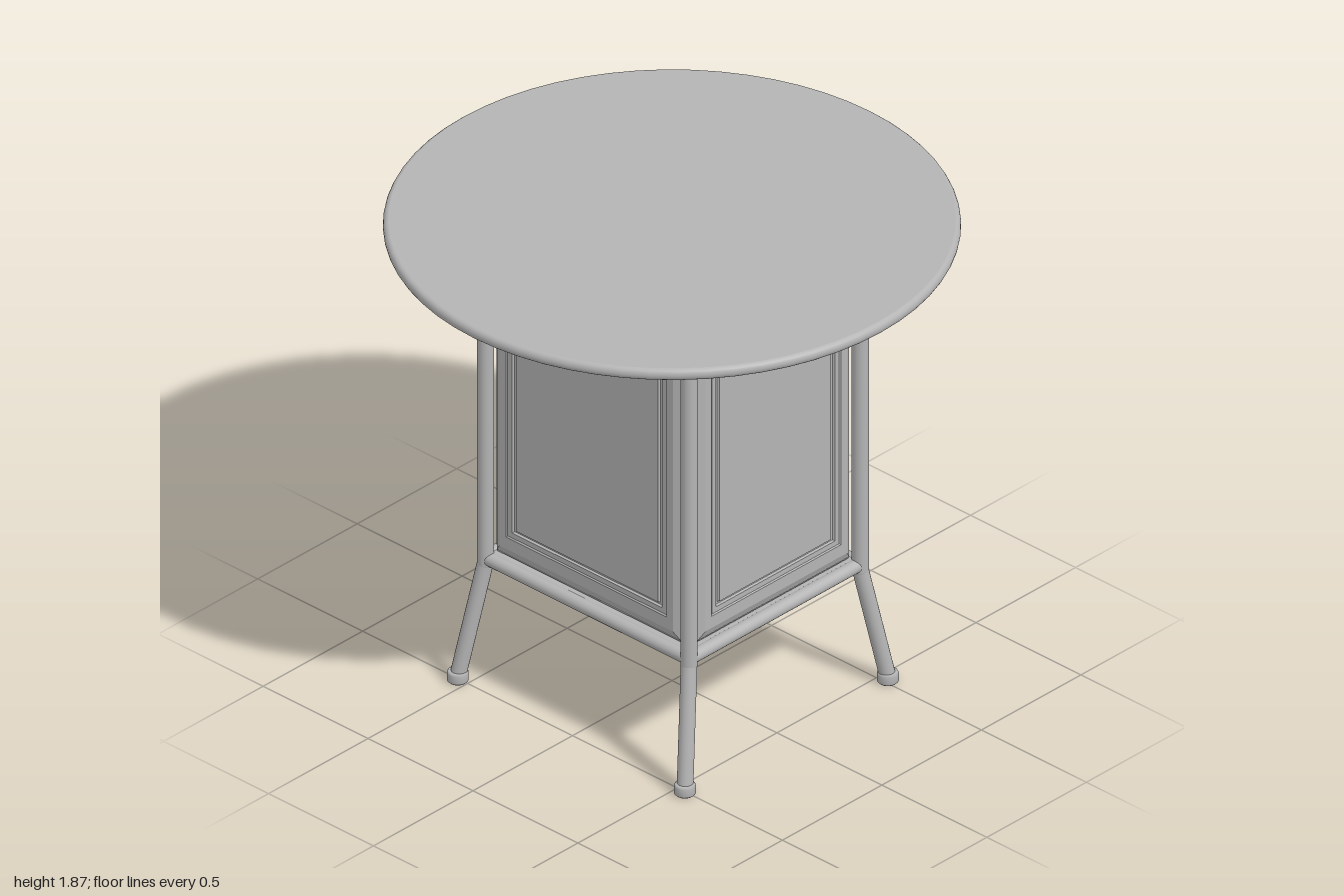
import * as THREE from 'three';

const grey = new THREE.MeshStandardMaterial({ color: 0xb4b4b4 });
grey.name = 'grey metal';

function add(parent, name, geometry) {
  const mesh = new THREE.Mesh(geometry, grey);
  mesh.name = name;
  parent.add(mesh);
  return mesh;
}

// Straight round bar between two points
function rod(a, b, radius) {
  const dir = b.clone().sub(a);
  const g = new THREE.CylinderGeometry(radius, radius, dir.length(), 20);
  g.applyQuaternion(new THREE.Quaternion().setFromUnitVectors(new THREE.Vector3(0, 1, 0), dir.normalize()));
  const mid = a.clone().add(b).multiplyScalar(0.5);
  return g.translate(mid.x, mid.y, mid.z);
}

// Rectangular panel facing +z: nested rings of [inset x, inset y, depth], closed by a flat centre
const RINGS = [
  [0, 0, 0], [0.02, 0.024, 0.022], [0.045, 0.055, 0.035], [0.075, 0.1025, 0.035],
  [0.08, 0.1075, 0.031], [0.1, 0.1275, 0.031], [0.104, 0.1305, 0.022],
  [0.116, 0.1395, 0.022], [0.12, 0.1425, 0.031],
];
function panelGeometry(halfW, halfH) {
  const pos = [];
  const corners = RINGS.map(([ix, iy, d]) => {
    const x = halfW - ix, y = halfH - iy;
    return [[-x, -y, d], [x, -y, d], [x, y, d], [-x, y, d]];
  });
  const quad = (a, b, c, d) => pos.push(...a, ...b, ...c, ...a, ...c, ...d);
  for (let r = 0; r < corners.length - 1; r++) {
    const o = corners[r], n = corners[r + 1];
    for (let i = 0; i < 4; i++) {
      const j = (i + 1) % 4;
      quad(o[i], o[j], n[j], n[i]);
    }
  }
  quad(...corners[corners.length - 1]);
  const g = new THREE.BufferGeometry();
  g.setAttribute('position', new THREE.Float32BufferAttribute(pos, 3));
  g.computeVertexNormals();
  return g;
}

// Mounting bar along z with tapered ends and chamfered lower edges
function barGeometry() {
  const ring = (hx, hz, y) => [[-hx, y, -hz], [-hx, y, hz], [hx, y, hz], [hx, y, -hz]];
  const rings = [ring(0.065, 0.568, 1.835), ring(0.065, 0.562, 1.805), ring(0.062, 0.55, 1.79), ring(0.052, 0.53, 1.78)];
  const pos = [];
  const quad = (a, b, c, d) => pos.push(...a, ...b, ...c, ...a, ...c, ...d);
  for (let r = 0; r < 3; r++) {
    for (let i = 0; i < 4; i++) {
      const j = (i + 1) % 4;
      quad(rings[r][i], rings[r + 1][i], rings[r + 1][j], rings[r][j]);
    }
  }
  const [a, b, c, d] = rings[3];
  quad(d, c, b, a);
  const g = new THREE.BufferGeometry();
  g.setAttribute('position', new THREE.Float32BufferAttribute(pos, 3));
  g.computeVertexNormals();
  return g;
}

export function createModel() {
  const model = new THREE.Group();
  model.name = 'roundTable';

  // Round top: flat faces with a softly rounded rim
  const yMid = 1.852, half = 0.0225, soft = 0.018;
  const rim = [];
  for (let i = 0; i <= 8; i++) {
    const t = -Math.PI / 2 + (Math.PI * i) / 8;
    rim.push(new THREE.Vector2(1 - soft + soft * Math.cos(t), yMid + half * Math.sin(t)));
  }
  add(model, 'tabletopRim', new THREE.LatheGeometry(rim, 64));
  for (const s of [1, -1]) {
    const disc = new THREE.CircleGeometry(1 - soft, 64).rotateX(-s * Math.PI / 2);
    add(model, s > 0 ? 'tabletopUpperFace' : 'tabletopUnderside', disc.translate(0, yMid + s * half, 0));
  }

  const base = new THREE.Group();
  base.name = 'base';
  base.position.z = 0.004;
  model.add(base);

  // Cabinet core and its floor
  const bodyX = 0.4, bodyZ = 0.458, low = 0.515, high = 1.83;
  const halfH = (high - low) / 2, midY = (high + low) / 2;
  add(base, 'cabinetCore', new THREE.BoxGeometry(bodyX * 2 - 0.01, halfH * 2, bodyZ * 2 - 0.01)).position.y = midY;
  add(base, 'cabinetFloor', new THREE.BoxGeometry(0.86, 0.03, 0.97)).position.y = 0.495;

  // Four bevelled panels with a grooved rectangle
  ['front', 'left', 'back', 'right'].forEach((side, i) => {
    const wide = i % 2 === 1;
    const panel = add(base, side + 'Panel', panelGeometry(wide ? bodyZ : bodyX, halfH));
    const out = wide ? bodyX : bodyZ;
    panel.rotation.y = (i * Math.PI) / 2;
    panel.position.set(Math.sin(panel.rotation.y) * out, midY, Math.cos(panel.rotation.y) * out);
  });

  // Corner legs: upright, then splayed out to a capped foot
  const legX = 0.43, legZ = 0.485, railY = 0.49, r = 0.03;
  for (const sx of [1, -1]) {
    for (const sz of [1, -1]) {
      const leg = new THREE.Group();
      leg.name = (sz > 0 ? 'front' : 'back') + (sx > 0 ? 'Left' : 'Right') + 'Leg';
      base.add(leg);
      const top = new THREE.Vector3(sx * legX, 1.832, sz * legZ);
      const bend = new THREE.Vector3(sx * legX, 0.47, sz * legZ);
      const foot = new THREE.Vector3(sx * 0.508, 0.03, sz * 0.54);
      add(leg, 'upright', rod(top, bend, r));
      add(leg, 'bend', new THREE.SphereGeometry(r, 20, 12)).position.copy(bend);
      add(leg, 'splayedLeg', rod(bend, foot, r - 0.001));
      const cap = [[0, 0], [0.032, 0], [0.038, 0.006], [0.038, 0.036], [0.033, 0.044], [0, 0.044]];
      const capGeo = new THREE.LatheGeometry(cap.map(([x, y]) => new THREE.Vector2(x, y)), 20);
      add(leg, 'footCap', capGeo).position.set(sx * 0.51, 0, sz * 0.541);
    }
  }

  // Lower rails joining the legs
  for (const s of [1, -1]) {
    const v = (x, z) => new THREE.Vector3(x, railY, z);
    add(base, s > 0 ? 'frontRail' : 'backRail', rod(v(-legX, s * legZ), v(legX, s * legZ), 0.025));
    add(base, s > 0 ? 'leftRail' : 'rightRail', rod(v(s * legX, -legZ), v(s * legX, legZ), 0.025));
    // Mounting bar below the top
    add(base, s > 0 ? 'leftMountingBar' : 'rightMountingBar', barGeometry()).position.x = s * 0.553;
  }
  return model;
}
